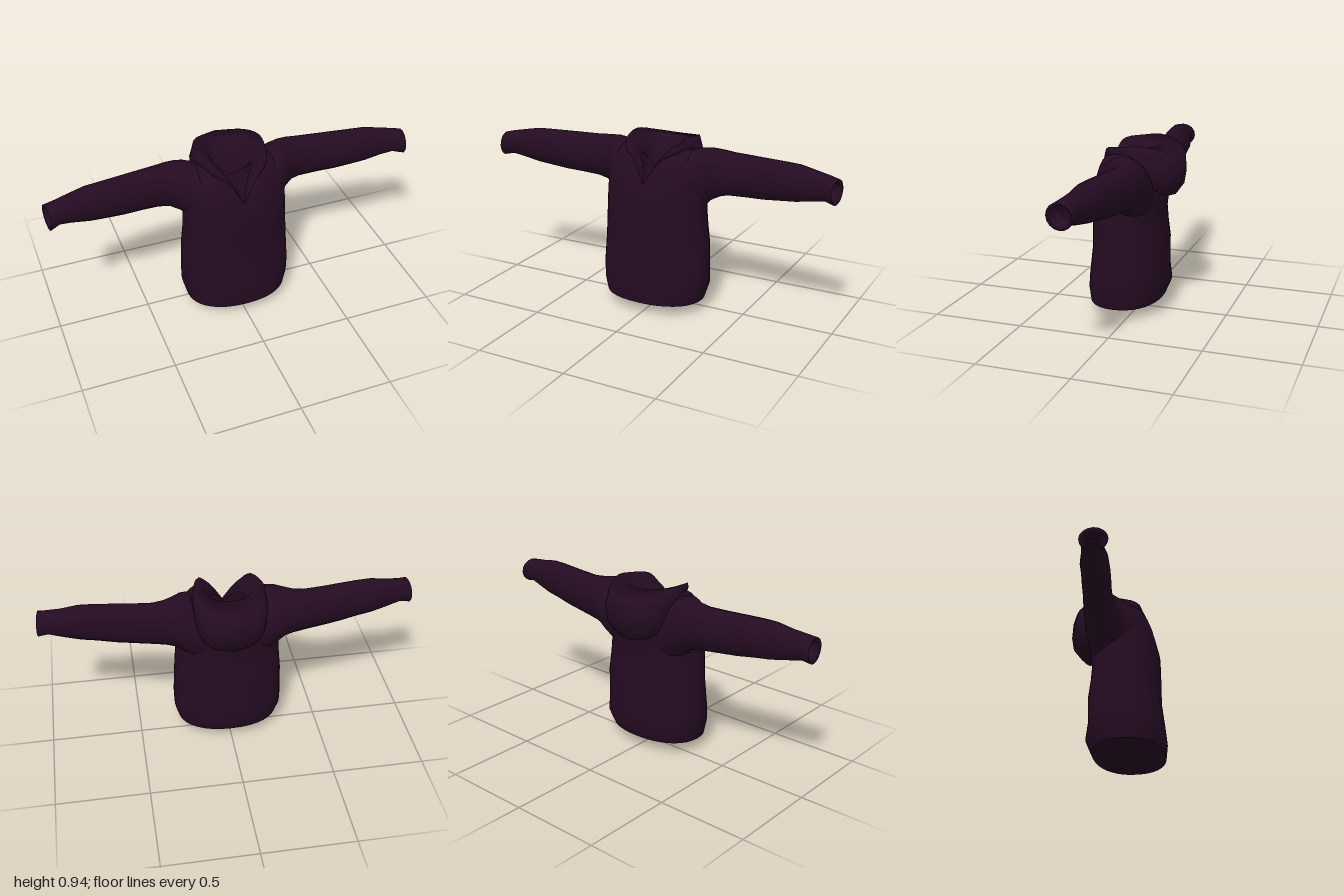
import * as THREE from 'three';

const V = (x, y, z) => new THREE.Vector3(x, y, z);
const fabric = new THREE.MeshStandardMaterial({ color: 0x240b22, side: THREE.DoubleSide });
fabric.name = 'dark plum fabric';

// Skins a list of equally long rings of points; skip(centre) leaves openings.
function loft(name, rings, skip = () => false) {
  const n = rings[0].length, pos = [], idx = [];
  rings.forEach(r => r.forEach(p => pos.push(p.x, p.y, p.z)));
  for (let i = 0; i < rings.length - 1; i++) {
    for (let j = 0; j < n; j++) {
      const k = (j + 1) % n;
      const mid = rings[i][j].clone().add(rings[i][k]).add(rings[i + 1][j]).add(rings[i + 1][k]).multiplyScalar(0.25);
      if (skip(mid)) continue;
      const a = i * n + j, b = i * n + k, c = a + n, d = b + n;
      idx.push(a, b, d, a, d, c);
    }
  }
  const g = new THREE.BufferGeometry();
  g.setAttribute('position', new THREE.Float32BufferAttribute(pos, 3));
  g.setIndex(idx);
  g.computeVertexNormals();
  const mesh = new THREE.Mesh(g, fabric);
  mesh.name = name;
  return mesh;
}

const SEG = 36;
const soft = v => Math.sign(v) * Math.pow(Math.abs(v), 0.9);

// Horizontal body ring; index 0 is the front centre.
function bodyRing([y, halfWidth, front, back]) {
  const c = (front + back) / 2, d = (front - back) / 2;
  return Array.from({ length: SEG }, (_, i) => {
    const a = i / SEG * Math.PI * 2;
    return V(halfWidth * soft(Math.sin(a)), y, c + d * soft(Math.cos(a)));
  });
}

// Samples a front-to-back curve and its mirror image as one closed ring
function mirroredRing(points, count) {
  const curve = new THREE.CatmullRomCurve3(points);
  return Array.from({ length: count }, (_, i) => {
    const t = i / (count / 2);
    const p = curve.getPoint(t > 1 ? 2 - t : t);
    if (t > 1) p.x *= -1;
    return p;
  });
}

// Neckline: front V, over the shoulder, to the nape.
const neckline = [
  V(0, 0.72, 0.208), V(0.075, 0.84, 0.172), V(0.14, 0.88, 0.12), V(0.18, 0.895, 0.03),
  V(0.17, 0.87, -0.07), V(0.11, 0.82, -0.12), V(0, 0.8, -0.13),
];

function makeTorso() {
  const rings = [
    [0.065, 0.28, 0.255, -0.135], [0.14, 0.3, 0.263, -0.167], [0.22, 0.303, 0.255, -0.155],
    [0.38, 0.296, 0.236, -0.155], [0.48, 0.288, 0.235, -0.142], [0.56, 0.283, 0.235, -0.136],
    [0.65, 0.28, 0.233, -0.147],
  ].map(bodyRing);
  const chest = rings[rings.length - 1], neck = mirroredRing(neckline, SEG);
  // Rounded yoke from the chest to the neckline
  for (const t of [0.2, 0.4, 0.6, 0.8, 1]) {
    const up = Math.sin(t * Math.PI / 2), inward = 1 - Math.cos(t * Math.PI / 2);
    rings.push(chest.map((p, i) => V(
      THREE.MathUtils.lerp(p.x, neck[i].x, inward),
      THREE.MathUtils.lerp(p.y, neck[i].y, up),
      THREE.MathUtils.lerp(p.z, neck[i].z, p.z > 0 ? t : inward))));
  }
  // Armholes are left open beneath the sleeves
  return loft('torso', rings, m =>
    Math.abs(m.x) > 0.22 && m.y > 0.7 && m.y < 0.86 && m.z > -0.05 && m.z < 0.06);
}

// Shallow closed underside inside the hem
function makeUnderside() {
  const hem = bodyRing([0.065, 0.28, 0.255, -0.135]), tip = V(0, 0, 0.08);
  const rings = [1, 0.62, 0.3, 0].map(k => hem.map(p => {
    const q = tip.clone().lerp(p, k);
    if (k === 0.62 && q.z < 0 && Math.abs(q.x) < 0.1) q.y -= 0.018;
    return q;
  }));
  return loft('underside', rings);
}

// Sleeve sections: x, top, bottom, front z, back z; the root flares into the chest
function makeSleeve(name, side) {
  const sections = [
    [0.15, 0.865, 0.5, 0.192, -0.134], [0.2, 0.89, 0.535, 0.172, -0.14], [0.25, 0.903, 0.575, 0.134, -0.14],
    [0.29, 0.902, 0.617, 0.09, -0.136],
    [0.34, 0.896, 0.641, 0.056, -0.13], [0.4, 0.89, 0.652, 0.043, -0.121], [0.5, 0.89, 0.66, 0.048, -0.104],
    [0.6, 0.89, 0.668, 0.062, -0.09], [0.7, 0.89, 0.682, 0.074, -0.075], [0.78, 0.888, 0.692, 0.08, -0.066],
    [0.87, 0.872, 0.71, 0.073, -0.042], [0.94, 0.86, 0.726, 0.085, -0.026], [0.992, 0.848, 0.716, 0.112, -0.03],
    [0.985, 0.832, 0.732, 0.092, -0.016], [0.93, 0.828, 0.752, 0.062, -0.006],
  ];
  const n = 16;
  const rings = sections.map(([x, top, bottom, front, back]) => Array.from({ length: n }, (_, i) => {
    const a = i / n * Math.PI * 2, s = Math.cos(a);
    const slant = x > 0.92 ? 0.008 * s : 0;
    return V(side * (x - slant), (top + bottom) / 2 + (top - bottom) / 2 * Math.sin(a),
      (front + back) / 2 + (front - back) / 2 * s);
  }));
  return loft(name, rings);
}

// Folded hood: each rail runs from the front V round to the back centre
function makeHood() {
  const rails = [
    // seam on the body
    [V(0, 0.72, 0.208), V(0.075, 0.84, 0.172), V(0.14, 0.88, 0.12), V(0.178, 0.88, 0.02), V(0.165, 0.75, -0.09), V(0.11, 0.69, -0.135), V(0, 0.675, -0.142)],
    // underside
    [V(0, 0.72, 0.209), V(0.077, 0.842, 0.173), V(0.144, 0.88, 0.122), V(0.184, 0.875, 0.01), V(0.178, 0.75, -0.105), V(0.12, 0.68, -0.175), V(0, 0.66, -0.205)],
    // lower back
    [V(0, 0.721, 0.21), V(0.079, 0.846, 0.173), V(0.145, 0.885, 0.127), V(0.186, 0.89, 0.01), V(0.187, 0.785, -0.11), V(0.142, 0.735, -0.2), V(0, 0.725, -0.252)],
    // fullest outside
    [V(0, 0.721, 0.21), V(0.081, 0.853, 0.171), V(0.145, 0.895, 0.132), V(0.186, 0.908, 0.02), V(0.19, 0.85, -0.11), V(0.15, 0.81, -0.205), V(0, 0.8, -0.264)],
    // upper edge
    [V(0, 0.722, 0.209), V(0.084, 0.864, 0.16), V(0.136, 0.916, 0.135), V(0.178, 0.935, 0.03), V(0.18, 0.944, -0.07), V(0.13, 0.914, -0.19), V(0, 0.893, -0.257)],
    // inner rim
    [V(0, 0.721, 0.205), V(0.07, 0.856, 0.142), V(0.104, 0.9, 0.1), V(0.125, 0.918, 0.02), V(0.115, 0.925, -0.055), V(0.075, 0.925, -0.105), V(0, 0.924, -0.122)],
    // lining
    [V(0, 0.716, 0.196), V(0.05, 0.81, 0.11), V(0.08, 0.84, 0.075), V(0.095, 0.845, 0.035), V(0.085, 0.79, -0.02), V(0.06, 0.74, -0.06), V(0, 0.71, -0.08)],
  ];
  return loft('hood', rails.map(points => mirroredRing(points, 40)));
}

export function createModel() {
  const model = new THREE.Group();
  model.name = 'hoodedTop';
  model.add(makeTorso(), makeUnderside(), makeHood(),
    makeSleeve('leftSleeve', 1), makeSleeve('rightSleeve', -1));
  return model;
}
